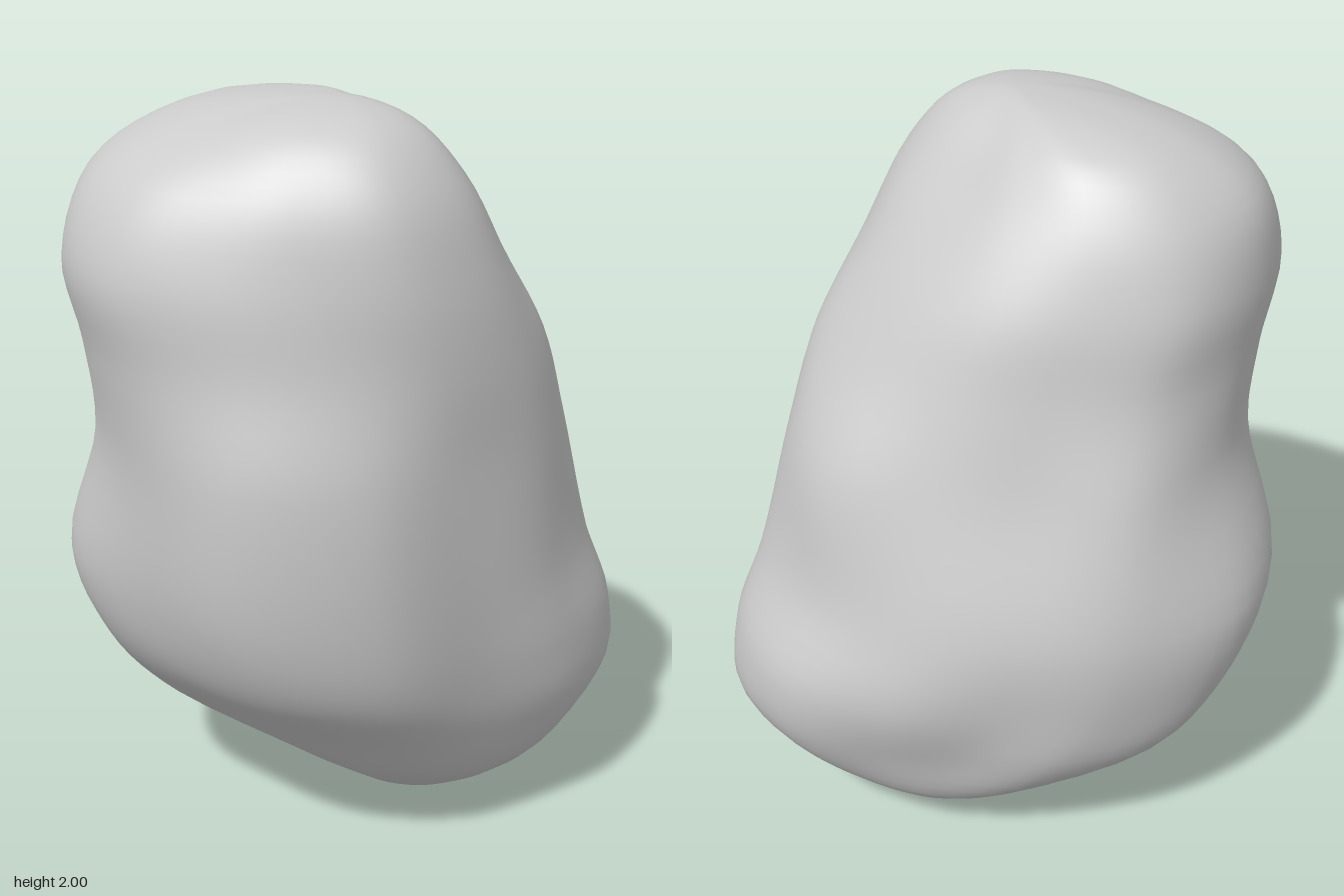
import * as THREE from 'three';

// Horizontal sections: [height, centre x, centre z, radii every 30 degrees from +x towards +z]
const SECTIONS = [
  [0.17, 0.07, -0.22, [.35, .34, .33, .33, .37, .37, .33, .29, .28, .31, .36, .37]],
  [0.37, 0.05, -0.15, [.47, .48, .48, .51, .63, .63, .5, .4, .42, .53, .62, .54]],
  [0.57, 0.05, -0.05, [.51, .56, .59, .6, .69, .7, .59, .51, .55, .65, .7, .58]],
  [0.8, 0.03, 0, [.545, .61, .65, .63, .71, .7, .6, .53, .54, .6, .67, .59]],
  [1.15, 0.05, 0.05, [.525, .58, .62, .595, .6, .58, .56, .47, .49, .59, .61, .57]],
  [1.4, 0.07, 0.12, [.51, .49, .51, .55, .57, .56, .53, .47, .48, .53, .58, .55]],
  [1.62, 0.05, 0.2, [.51, .44, .44, .5, .53, .52, .51, .46, .46, .48, .53, .55]],
  [1.82, 0.06, 0.22, [.45, .37, .35, .39, .44, .47, .45, .4, .36, .35, .42, .47]],
  [1.95, 0.08, 0.2, [.32, .26, .22, .2, .24, .3, .33, .29, .23, .21, .26, .32]],
];
const BOTTOM = new THREE.Vector3(0.06, 0, -0.2);
const TOP = new THREE.Vector3(0.17, 2, 0.12);
const COLUMNS = 72, ROWS = 50;

// Smooth closed outline of one section, sampled into columns
function sectionPoints([y, cx, cz, radii]) {
  const corners = radii.map((r, i) => {
    const a = i * Math.PI / 6;
    return new THREE.Vector3(cx + r * Math.cos(a), y, cz + r * Math.sin(a));
  });
  const outline = new THREE.CatmullRomCurve3(corners, true);
  return Array.from({ length: COLUMNS }, (_, j) => outline.getPoint(j / COLUMNS));
}

function boulderGeometry() {
  const rings = SECTIONS.map(sectionPoints);
  const positions = [...BOTTOM.toArray()];

  // Each column follows a loop over both poles, so the ends stay rounded
  for (let j = 0; j < COLUMNS; j++) {
    const opposite = (j + COLUMNS / 2) % COLUMNS;
    const up = rings.map(ring => ring[j]);
    const down = rings.map(ring => ring[opposite]).reverse();
    const loop = new THREE.CatmullRomCurve3([BOTTOM, ...up, TOP, ...down], true);
    for (let i = 1; i < ROWS; i++) {
      const p = loop.getPoint(0.5 * i / ROWS);
      positions.push(p.x, THREE.MathUtils.clamp(p.y, 0, 2), p.z);
    }
  }
  positions.push(...TOP.toArray());

  // Quads between neighbouring columns, single triangles at the poles
  const last = positions.length / 3 - 1;
  const at = (i, j) => i === 0 ? 0 : i === ROWS ? last : (j % COLUMNS) * (ROWS - 1) + i;
  const index = [];
  for (let j = 0; j < COLUMNS; j++) {
    for (let i = 0; i < ROWS; i++) {
      const a = at(i, j), b = at(i + 1, j), c = at(i + 1, j + 1), d = at(i, j + 1);
      if (b !== c) index.push(a, b, c);
      if (a !== d) index.push(a, c, d);
    }
  }

  const geometry = new THREE.BufferGeometry();
  geometry.setAttribute('position', new THREE.Float32BufferAttribute(positions, 3));
  geometry.setIndex(index);
  geometry.computeVertexNormals();
  return geometry;
}

export function createModel() {
  const group = new THREE.Group();
  group.name = 'rock';
  const boulder = new THREE.Mesh(boulderGeometry(), new THREE.MeshStandardMaterial({ color: 0xcccccc }));
  boulder.name = 'boulder';
  group.add(boulder);
  return group;
}
